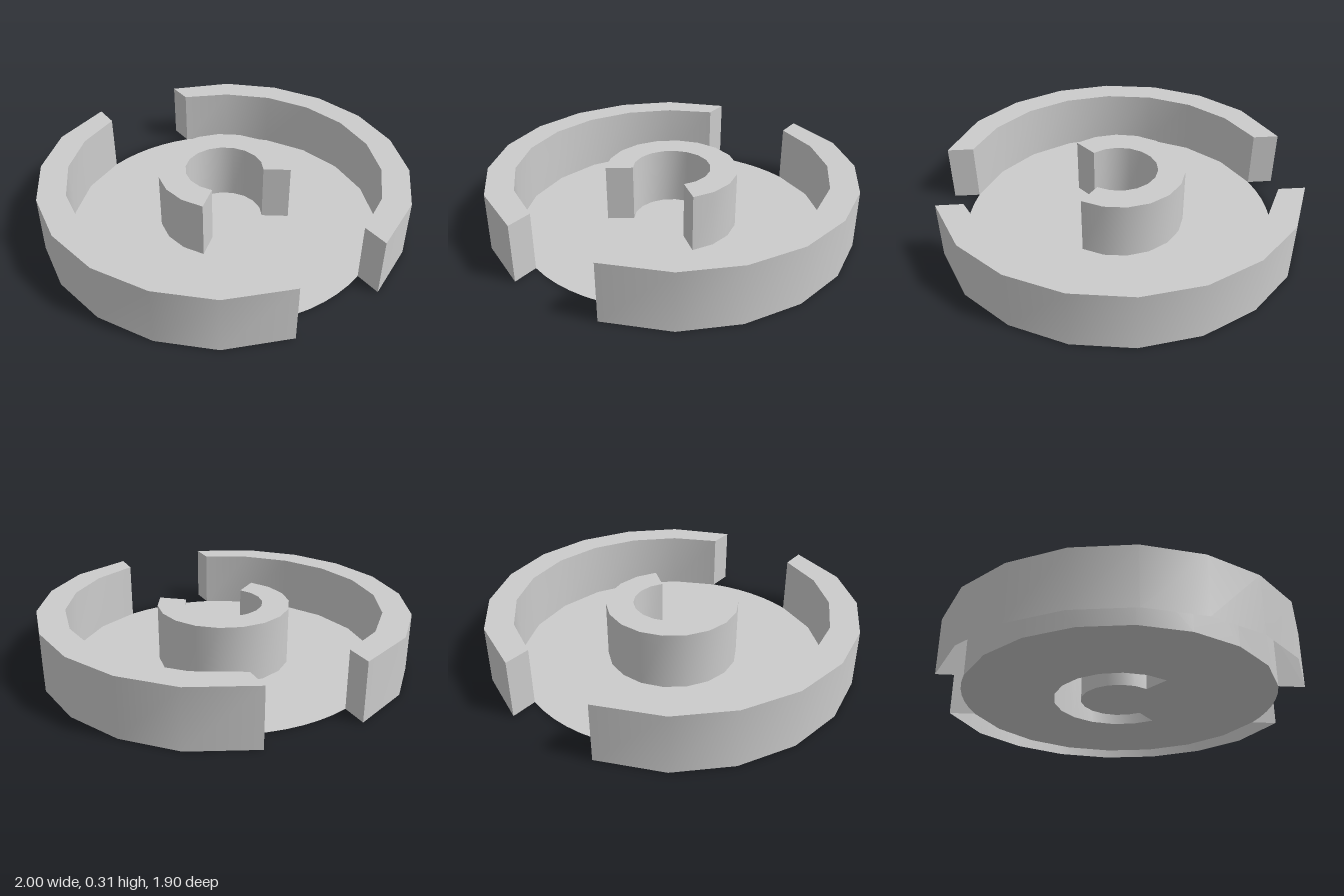
import * as THREE from 'three';

const HEIGHT = 0.315;
const RIM_IN = 0.85;
const GAP_X = 0.263;

// Points on an arc, in plan coordinates (plan y is -z)
function arc(r, fromDeg, toDeg, segments) {
  return Array.from({ length: segments + 1 }, (_, i) => {
    const a = THREE.MathUtils.degToRad(fromDeg + ((toDeg - fromDeg) * i) / segments);
    return new THREE.Vector2(r * Math.cos(a), r * Math.sin(a));
  });
}

function mesh(name, geometry) {
  const material = new THREE.MeshStandardMaterial({ color: 0xcccccc, side: THREE.DoubleSide });
  const m = new THREE.Mesh(geometry, material);
  m.name = name;
  return m;
}

// Upright strip standing on a plan path, smooth along its length
function ribbon(name, path) {
  const n = path.length;
  const geo = new THREE.PlaneGeometry(1, 1, n - 1, 1);
  const pos = geo.attributes.position;
  for (let i = 0; i < pos.count; i++) {
    const p = path[i % n];
    pos.setXYZ(i, p.x, i < n ? HEIGHT : 0, -p.y);
  }
  geo.computeVertexNormals();
  return mesh(name, geo);
}

function flat(name, shape, y) {
  return mesh(name, new THREE.ShapeGeometry(shape).rotateX(-Math.PI / 2).translate(0, y, 0));
}

// Hollow wall, open underneath: two curved faces, two ends and a top
function hollowWall(name, outer, inner) {
  const group = new THREE.Group();
  group.name = name;
  group.add(
    ribbon('outerFace', outer),
    ribbon('innerFace', inner),
    ribbon('endA', [outer[outer.length - 1], inner[0]]),
    ribbon('endB', [inner[inner.length - 1], outer[0]]),
    flat('topFace', new THREE.Shape([...outer, ...inner]), HEIGHT)
  );
  return group;
}

export function createModel() {
  const model = new THREE.Group();

  // Two rim walls with straight-cut ends at the front and back gaps
  const rimOuter = [
    new THREE.Vector2(GAP_X, -0.95),
    ...arc(1, -54, 54, 6),
    new THREE.Vector2(GAP_X, 0.95),
  ];
  const rimInner = arc(RIM_IN, 72, -72, 8);
  const leftRim = hollowWall('leftRimWall', rimOuter, rimInner);
  const rightRim = hollowWall('rightRimWall', rimOuter, rimInner);
  rightRim.rotation.y = Math.PI;
  model.add(leftRim, rightRim);

  // C-shaped hub wall, open to the front
  const hubOuter = arc(0.36, -37.4, 217.4, 13);
  const hubInner = arc(0.212, 217.4, -37.4, 13);
  model.add(hollowWall('hubWall', hubOuter, hubInner));

  // Thin floor, finer along the gaps, cut away under the hub wall
  const floor = new THREE.Shape([
    ...arc(RIM_IN, -72, 72, 8),
    ...arc(RIM_IN, 72, 108, 6).slice(1),
    ...arc(RIM_IN, 108, 252, 8).slice(1),
    ...arc(RIM_IN, 252, 288, 6).slice(1, -1),
  ]);
  floor.holes.push(new THREE.Path([...hubOuter, ...hubInner]));
  model.add(flat('floor', floor, 0));

  return model;
}
